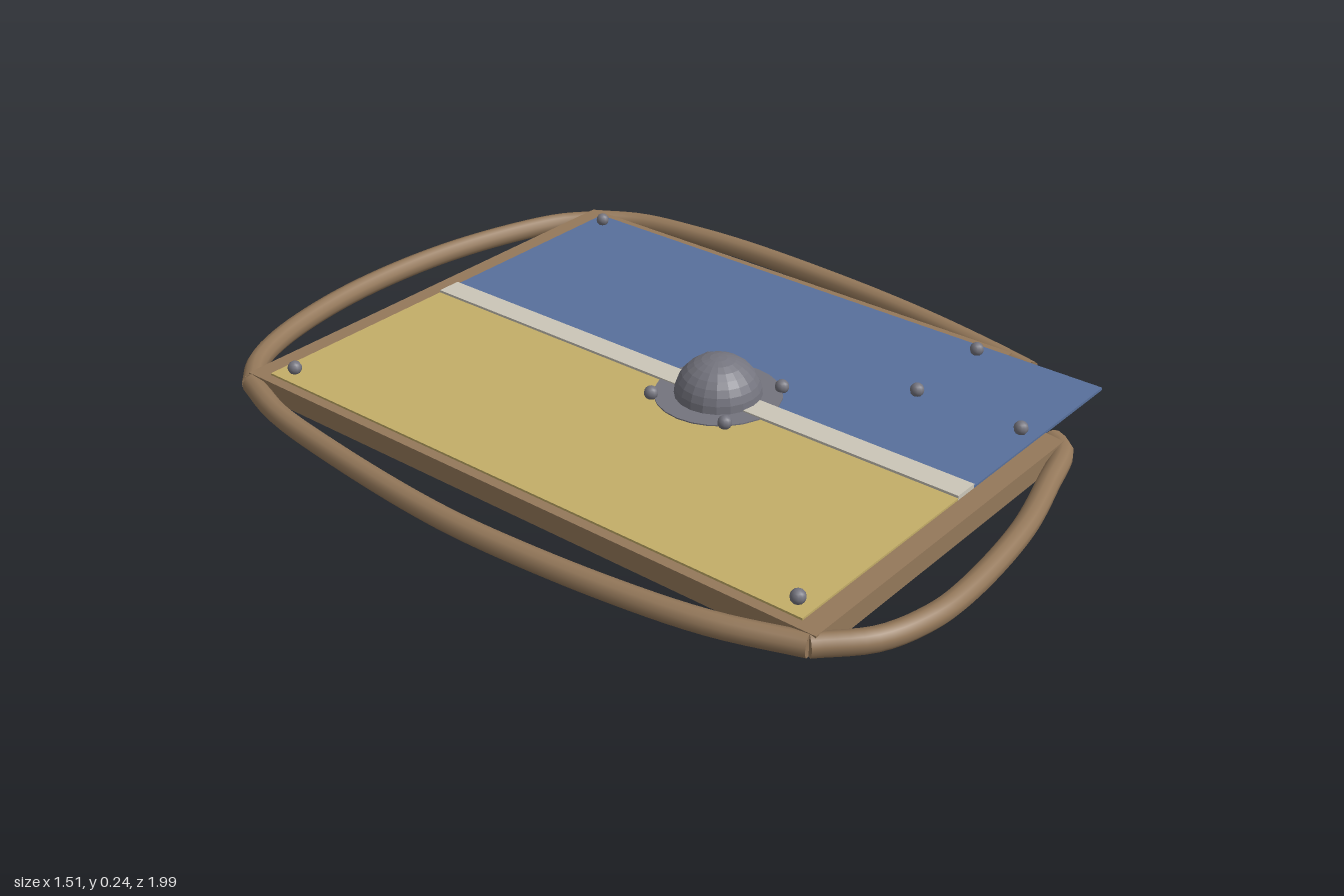
import * as THREE from 'three';

const mat = (color, flat = false) => new THREE.MeshStandardMaterial({ color, flatShading: flat, side: THREE.DoubleSide });

export function createModel() {
  const group = new THREE.Group();
  const wood = mat(0x94785a, true), rimWood = mat(0x94785a), metal = mat(0x74747e), metalFlat = mat(0x74747e, true);

  function add(name, geometry, material, x = 0, y = 0, z = 0) {
    const mesh = new THREE.Mesh(geometry, material);
    mesh.name = name;
    mesh.position.set(x, y, z);
    group.add(mesh);
    return mesh;
  }

  // wooden board with one broken-out corner
  const outline = [[-0.6, -0.8], [0.63, -0.8], [0.63, 0.54], [0.39, 0.53], [0.34, 0.845], [-0.6, 0.845]];
  const shape = new THREE.Shape(outline.map(([x, z]) => new THREE.Vector2(x, -z)));
  const boardGeo = new THREE.ExtrudeGeometry(shape, { depth: 0.05, bevelEnabled: false });
  boardGeo.rotateX(-Math.PI / 2);
  add('board', boardGeo, wood, 0, 0.092, 0);

  // painted facing: two panels and the stripe between them
  function panel(name, x0, x1, top, color) {
    const h = top - 0.14;
    add(name, new THREE.BoxGeometry(x1 - x0, h, 1.545), mat(color), (x0 + x1) / 2, 0.14 + h / 2, 0.0225);
  }
  panel('yellowPanel', -0.575, -0.018, 0.147, 0xc4ae68);
  panel('bluePanel', 0.045, 0.605, 0.147, 0x58709c);
  panel('centreStripe', -0.018, 0.045, 0.153, 0xcbc6b8);

  // bowed rim, one rod for each side, with closed ends
  const rods = {
    leftRimRod: [[0.63, -0.79], [0.69, -0.68], [0.72, -0.5], [0.73, -0.33], [0.717, 0], [0.69, 0.25], [0.65, 0.47], [0.62, 0.6]],
    rightRimRod: [[-0.6, -0.79], [-0.655, -0.64], [-0.695, -0.4], [-0.725, -0.1], [-0.728, 0.08], [-0.705, 0.4], [-0.665, 0.64], [-0.6, 0.83]],
    backRimRod: [[-0.6, -0.79], [-0.52, -0.865], [-0.4, -0.92], [-0.2, -0.963], [0, -0.974], [0.22, -0.955], [0.42, -0.905], [0.55, -0.85], [0.63, -0.78]],
    frontRimRod: [[-0.6, 0.83], [-0.5, 0.92], [-0.38, 0.96], [-0.26, 0.967], [0, 0.94], [0.2, 0.888], [0.345, 0.84], [0.37, 0.8]],
  };
  for (const [name, pts] of Object.entries(rods)) {
    const curve = new THREE.CatmullRomCurve3(pts.map(([x, z]) => new THREE.Vector3(x, 0.115, z)));
    add(name, new THREE.TubeGeometry(curve, 40, 0.026, 10, false), rimWood);
    for (const t of [0, 1]) {
      const p = curve.getPoint(t);
      const cap = add(name + 'End', new THREE.CircleGeometry(0.026, 10), rimWood, p.x, p.y, p.z);
      cap.lookAt(p.clone().addScaledVector(curve.getTangent(t), t ? 1 : -1));
    }
  }

  // domed boss on a flat flange
  add('bossFlange', new THREE.CylinderGeometry(0.15, 0.15, 0.01, 24), metal, 0.015, 0.145, 0.125);
  const dome = add('bossDome', new THREE.SphereGeometry(0.103, 20, 8, 0, Math.PI * 2, 0, Math.PI / 2), metalFlat, 0.015, 0.15, 0.125);
  dome.scale.y = 0.92;

  // rivets at the panel corners, the broken corner and around the boss
  const rivets = [[-0.535, -0.71], [0.565, -0.71], [-0.535, 0.755], [0.305, 0.755], [0.305, 0.48], [0.565, 0.48],
    [-0.095, 0.015], [0.12, 0.015], [-0.095, 0.23], [0.12, 0.23]];
  for (const [x, z] of rivets) add('rivet', new THREE.SphereGeometry(0.017, 10, 8), metal, x, 0.159, z);

  // hand grip below: a long eight-sided bar crossed by a shorter one
  function bar(name, width, height, length, x, y, z, alongX) {
    const geo = new THREE.CylinderGeometry(0.5, 0.5, 1, 8);
    geo.rotateY(Math.PI / 8);
    geo.rotateX(Math.PI / 2);
    geo.scale(width / 0.924, height / 0.924, length);
    if (alongX) geo.rotateY(Math.PI / 2);
    add(name, geo, wood, x, y, z);
  }
  bar('gripBar', 0.06, 0.04, 0.48, 0.015, 0.022, 0.03, false);
  bar('gripCrossbar', 0.07, 0.026, 0.325, 0.015, 0.028, 0.13, true);

  // small pins on either side of the grip
  for (const s of [-1, 1]) add('gripPin', new THREE.SphereGeometry(0.012, 8, 6), mat(0xb09a5c), 0.015 + s * 0.045, 0.022, 0.03);

  return group;
}
